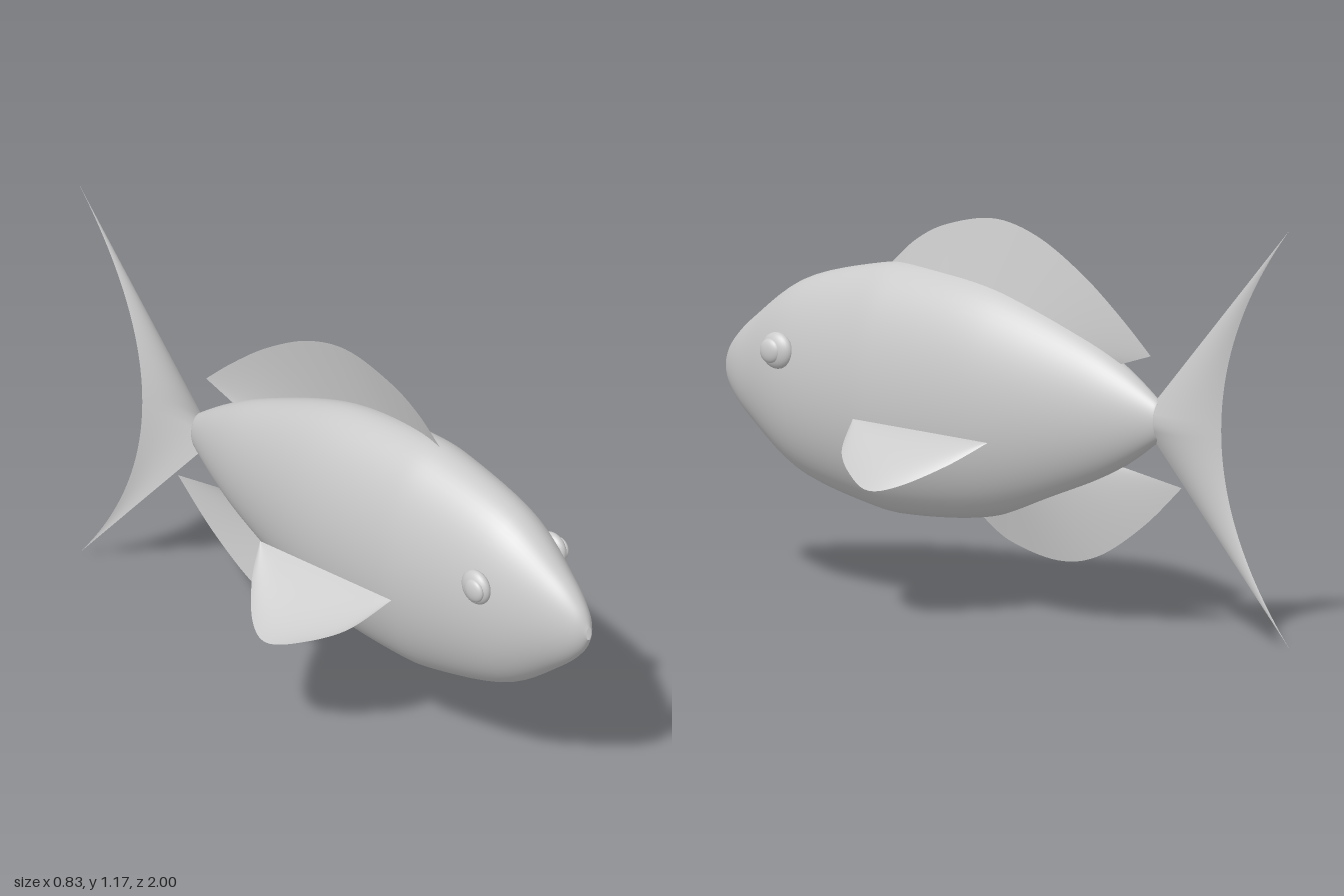
import * as THREE from 'three';

const MID = 0.592; // height of the body axis
const skin = new THREE.MeshStandardMaterial({ color: 0xcccccc });
const thin = new THREE.MeshStandardMaterial({ color: 0xcccccc, side: THREE.DoubleSide });

function add(parent, name, geometry, material) {
  const mesh = new THREE.Mesh(geometry, material);
  mesh.name = name;
  parent.add(mesh);
  return mesh;
}

// Smooth sheet: point(u, t) gives [x, y, z] for u, t in 0..1
function sheet(point, nu = 16, nt = 48) {
  const pos = [], index = [];
  for (let j = 0; j <= nt; j++)
    for (let i = 0; i <= nu; i++) pos.push(...point(i / nu, j / nt));
  for (let j = 0; j < nt; j++)
    for (let i = 0; i < nu; i++) {
      const a = j * (nu + 1) + i, b = a + nu + 1;
      index.push(a, a + 1, b, a + 1, b + 1, b);
    }
  const g = new THREE.BufferGeometry();
  g.setAttribute('position', new THREE.Float32BufferAttribute(pos, 3));
  g.setIndex(index);
  g.computeVertexNormals();
  return g;
}

const spline = (pts) => new THREE.SplineCurve(pts.map(([a, b]) => new THREE.Vector2(a, b)));

// Upright fin between a root and a rim given as [z, y]; it bellies toward +x at the root
function uprightFin(root, rim, belly) {
  const a = spline(root), b = spline(rim);
  return sheet((u, t) => {
    const p = a.getPoint(t).lerp(b.getPoint(t), u);
    return [belly * Math.sin(Math.PI * t) * (1 - u), p.y, p.x];
  });
}

export function createModel() {
  const fish = new THREE.Group();
  fish.name = 'fish';

  // Body: half-heights along z, revolved and flattened sideways
  const profile = spline([
    [0.05, -0.53], [0.062, -0.52], [0.13, -0.42], [0.2, -0.29], [0.29, -0.07],
    [0.333, 0.1], [0.349, 0.32], [0.338, 0.46], [0.272, 0.71], [0.15, 0.89], [0.075, 0.97], [0.02, 1],
  ]);
  const body = new THREE.LatheGeometry(profile.getPoints(60), 64);
  body.rotateX(Math.PI / 2).scale(0.52, 1, 1).translate(0, MID, 0);
  add(fish, 'body', body, thin);

  // Dorsal and anal fins
  add(fish, 'dorsalFin', uprightFin(
    [[0.42, 0.93], [0.2, 0.91], [-0.1, 0.82], [-0.34, 0.72]],
    [[0.42, 0.935], [0.33, 1.01], [0.22, 1.063], [0.055, 1.095], [-0.1, 1.06], [-0.26, 0.97], [-0.395, 0.865], [-0.5, 0.77]],
    0.042), thin);
  add(fish, 'analFin', uprightFin(
    [[0.1, 0.28], [-0.05, 0.33], [-0.2, 0.4], [-0.34, 0.462]],
    [[0.1, 0.265], [0, 0.205], [-0.17, 0.168], [-0.315, 0.195], [-0.475, 0.295], [-0.61, 0.415]],
    0.038), thin);

  // Tail: straight swept leading edges, curved trailing edge
  add(fish, 'tailFin', sheet((u, t) => {
    const v = 2 * t - 1, s = Math.abs(v);
    const lead = -0.465 - 0.53 * s, trail = -0.75 - 0.245 * s * s;
    return [0.036 * 4 * u * (1 - u) * (1 - s) ** 2, 0.59 + 0.585 * v, lead + (trail - lead) * u];
  }), thin);

  // Pectoral fins: rim as [x, z], drooping outward with a slight belly
  const rim = spline([[0.18, 0.41], [0.295, 0.355], [0.375, 0.255], [0.415, 0.16], [0.385, 0.075], [0.295, -0.02], [0.2, -0.085]]);
  const root = spline([[0.18, 0.41], [0.2, -0.085]]);
  for (const side of [1, -1]) {
    const fin = sheet((u, t) => {
      const p = root.getPoint(t).lerp(rim.getPoint(t), u);
      const belly = 0.025 * side * 4 * u * (1 - u) * Math.sin(Math.PI * t);
      return [side * p.x, 0.52 - 0.61 * (p.x - 0.185) + belly, p.y];
    });
    add(fish, side > 0 ? 'leftPectoralFin' : 'rightPectoralFin', fin, thin);

    // Eye: flattened ball with a smaller pupil on its outer face
    const eye = new THREE.Group();
    eye.name = side > 0 ? 'leftEye' : 'rightEye';
    const ball = add(eye, 'eyeball', new THREE.SphereGeometry(0.051, 32, 20), skin);
    ball.scale.x = 0.5;
    ball.position.set(side * 0.146, 0.678, 0.707);
    const pupil = add(eye, 'pupil', new THREE.SphereGeometry(0.034, 32, 20), skin);
    pupil.scale.x = 0.45;
    pupil.position.set(side * 0.164, 0.678, 0.717);
    fish.add(eye);
  }
  return fish;
}
